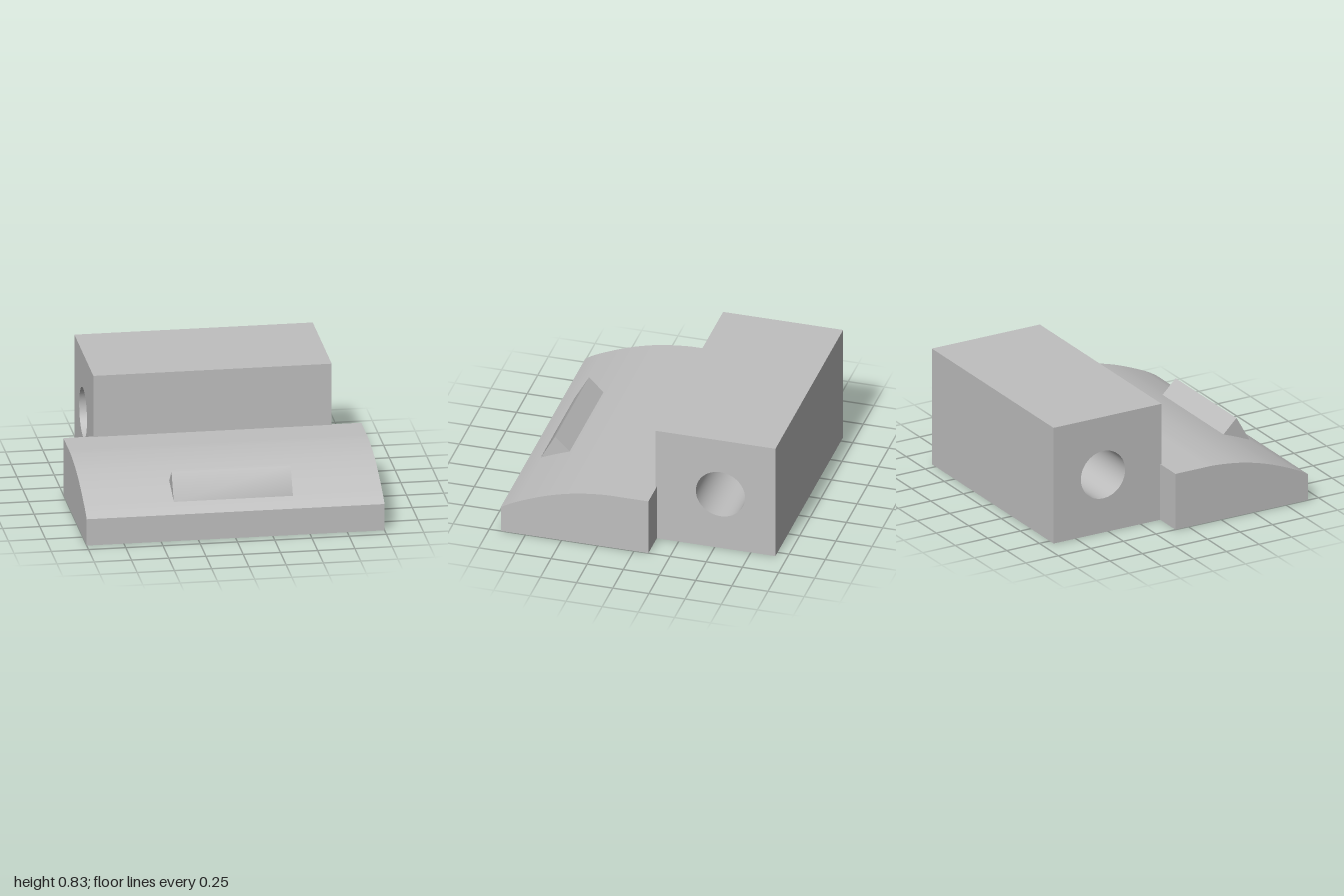
import * as THREE from 'three';
import { toCreasedNormals } from 'three/addons/utils/BufferGeometryUtils.js';

const BACK = -0.92, FRONT = -0.09, HALF = 0.8, HEIGHT = 0.83, RECESS = 0.055;

// Rectangle outline from (x0, y0) to (x1, y1)
function rect(x0, y0, x1, y1) {
  return new THREE.Shape([
    new THREE.Vector2(x0, y0), new THREE.Vector2(x1, y0),
    new THREE.Vector2(x1, y1), new THREE.Vector2(x0, y1),
  ]);
}

function circleHole(x, y, r) {
  return new THREE.Path().absarc(x, y, r, 0, Math.PI * 2, true);
}

function extrude(shape, depth) {
  return new THREE.ExtrudeGeometry(shape, { depth, bevelEnabled: false, curveSegments: 48 });
}

// Extrudes a (z, y) side profile across the full width, centred on x = 0
function acrossWidth(shape, width) {
  const geo = extrude(shape, width).translate(0, 0, -width / 2).rotateY(-Math.PI / 2);
  return toCreasedNormals(geo, Math.PI / 6);
}

export function createModel() {
  const group = new THREE.Group();
  const grey = new THREE.MeshStandardMaterial({ color: 0xbfbfbf });
  grey.name = 'grey';

  const add = (name, geometry) => {
    const mesh = new THREE.Mesh(geometry, grey);
    mesh.name = name;
    group.add(mesh);
  };

  // Rear block with a round bore running from side to side
  const block = rect(BACK, RECESS, FRONT, HEIGHT);
  block.holes.push(circleHole(-0.54, 0.415, 0.17));
  add('rearBlock', acrossWidth(block, HALF * 2));

  // Bottom layer of the block, with three shallow round recesses
  const base = rect(-HALF, BACK, HALF, FRONT);
  for (const x of [-0.35, 0, 0.35]) base.holes.push(circleHole(x, -0.73, 0.103));
  const baseGeo = extrude(base, RECESS).rotateX(Math.PI / 2).translate(0, RECESS, 0);
  add('recessedBase', toCreasedNormals(baseGeo, Math.PI / 6));

  // Wide front plate with a top that curves down to the front edge
  const plate = new THREE.Shape();
  plate.moveTo(-0.1, 0);
  plate.lineTo(0.92, 0);
  plate.lineTo(0.92, 0.185);
  plate.splineThru([
    [0.82, 0.24], [0.62, 0.32], [0.42, 0.373], [0.22, 0.398], [0.05, 0.4], [-0.1, 0.4],
  ].map(([z, y]) => new THREE.Vector2(z, y)));
  add('curvedPlate', acrossWidth(plate, 2));

  // Triangular ridge sitting on the curve
  const ridge = new THREE.Shape([
    [0.62, 0.29], [0.82, 0.21], [0.82, 0.24], [0.72, 0.418], [0.62, 0.32],
  ].map(([z, y]) => new THREE.Vector2(z, y)));
  add('ridge', acrossWidth(ridge, 0.8));

  return group;
}
